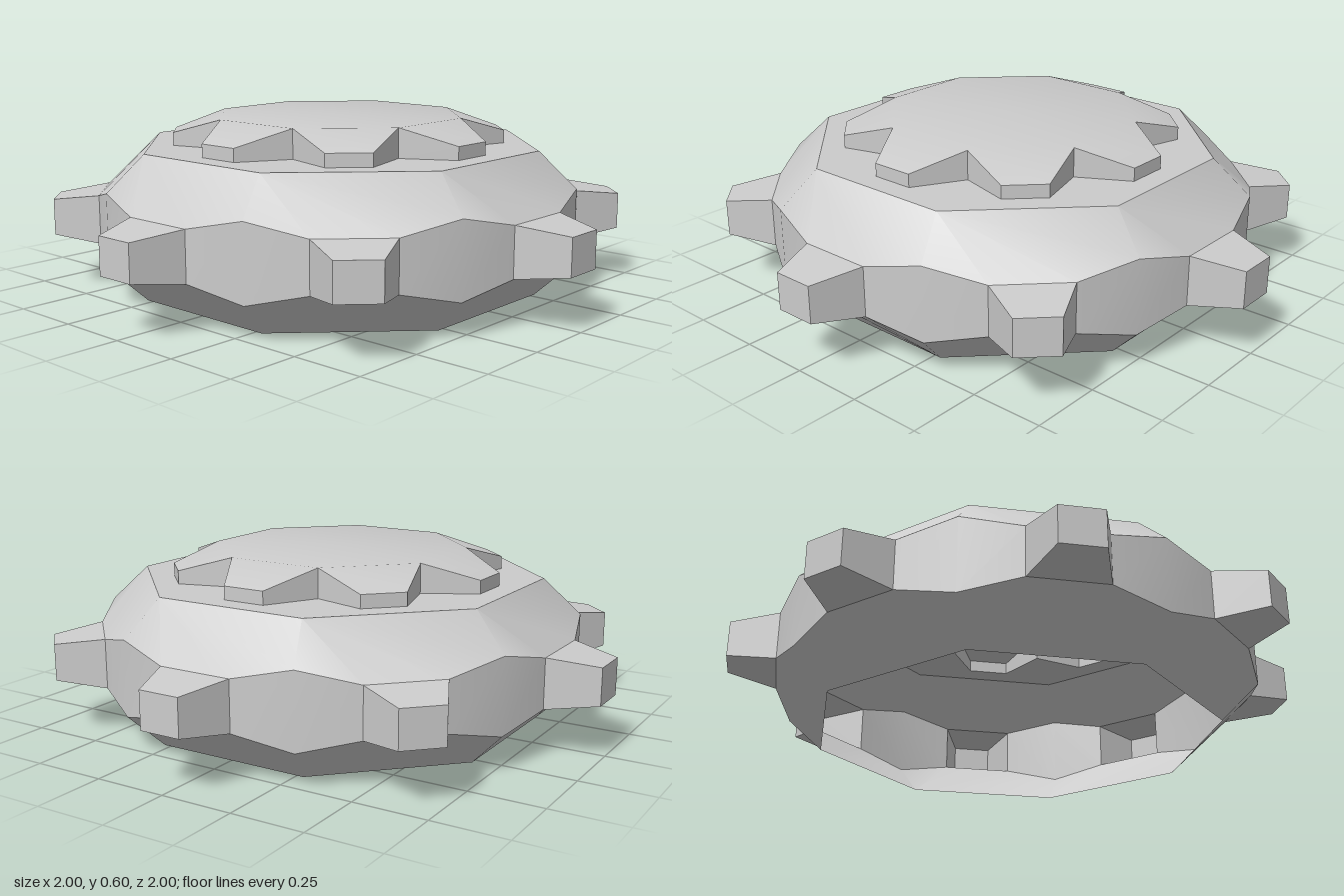
import * as THREE from 'three';
import { toCreasedNormals } from 'three/addons/utils/BufferGeometryUtils.js';

const SIDES = 8;
const T = Math.tan(Math.PI / SIDES);
const MID = 0.25; // mirror height of the hollow ring

// Repeats the convex faces of one sector (facing +z) around the y axis.
function radialMesh(name, faces) {
  const pos = [];
  const p = new THREE.Vector3();
  const up = new THREE.Vector3(0, 1, 0);
  for (let k = 0; k < SIDES; k++) {
    for (const face of faces) {
      for (let i = 1; i < face.length - 1; i++) {
        for (const v of [face[0], face[i], face[i + 1]]) {
          p.set(...v).applyAxisAngle(up, (k * 2 * Math.PI) / SIDES);
          pos.push(p.x, p.y, p.z);
        }
      }
    }
  }
  const geo = new THREE.BufferGeometry();
  geo.setAttribute('position', new THREE.Float32BufferAttribute(pos, 3));
  const mesh = new THREE.Mesh(
    toCreasedNormals(geo, THREE.MathUtils.degToRad(30)),
    new THREE.MeshStandardMaterial({ color: 0xcccccc, side: THREE.DoubleSide })
  );
  mesh.name = name;
  return mesh;
}

// Mirrors: flipX gives the other half of a sector, flipY the underside.
const flipX = (face) => face.map(([x, y, z]) => [-x, y, z]).reverse();
const flipY = (face) => face.map(([x, y, z]) => [x, 2 * MID - y, z]).reverse();
const left = ([x, y, z]) => [-x, y, z];
const low = ([x, y, z]) => [x, 2 * MID - y, z];

export function createModel() {
  const group = new THREE.Group();
  group.name = 'gearRing';

  // Right-hand upper points of one sector
  const plate = [0.66 * T, 0.5, 0.66];
  const corner = [0.78 * T, 0.378, 0.78];
  const root = [0.13, 0.335, 0.834];
  const tip = [0.072, 0.313, 1];
  const capTip = [0.075, 0.545, 0.58];
  const notch = [0.41 * T, 0.6, 0.41];
  const ground = ([x, , z]) => [x, 0.5, z];

  // Sloping bands above and below the rim
  const bevel = [left(plate), left(corner), left(root), root, corner, plate];
  group.add(radialMesh('upperBevel', [bevel]));
  group.add(radialMesh('lowerBevel', [flipY(bevel)]));

  // Outer wall between the teeth
  const wall = [low(root), low(corner), corner, root];
  group.add(radialMesh('rim', [wall, flipX(wall)]));

  // Tapered teeth, hollow toward the inside
  const toothTop = [left(root), left(tip), tip, root];
  const toothSide = [low(tip), low(root), root, tip];
  const toothEnd = [low(left(tip)), low(tip), tip, left(tip)];
  group.add(radialMesh('outerTeeth', [toothTop, flipY(toothTop), toothSide, flipX(toothSide), toothEnd]));

  // Flat plate around the raised cap
  const plateFront = [left(plate), plate, ground(capTip), left(ground(capTip))];
  const plateSide = [plate, ground(notch), ground(capTip)];
  group.add(radialMesh('topPlate', [plateFront, plateSide, flipX(plateSide)]));

  // Raised star cap with drooping points and a short wall
  const capCentre = [[0, 0.6, 0], left(notch), notch];
  const capPoint = [left(notch), left(capTip), capTip, notch];
  const capEnd = [left(ground(capTip)), ground(capTip), capTip, left(capTip)];
  const capSide = [ground(capTip), ground(notch), notch, capTip];
  group.add(radialMesh('starCap', [capCentre, capPoint, capEnd, capSide, flipX(capSide)]));

  return group;
}
